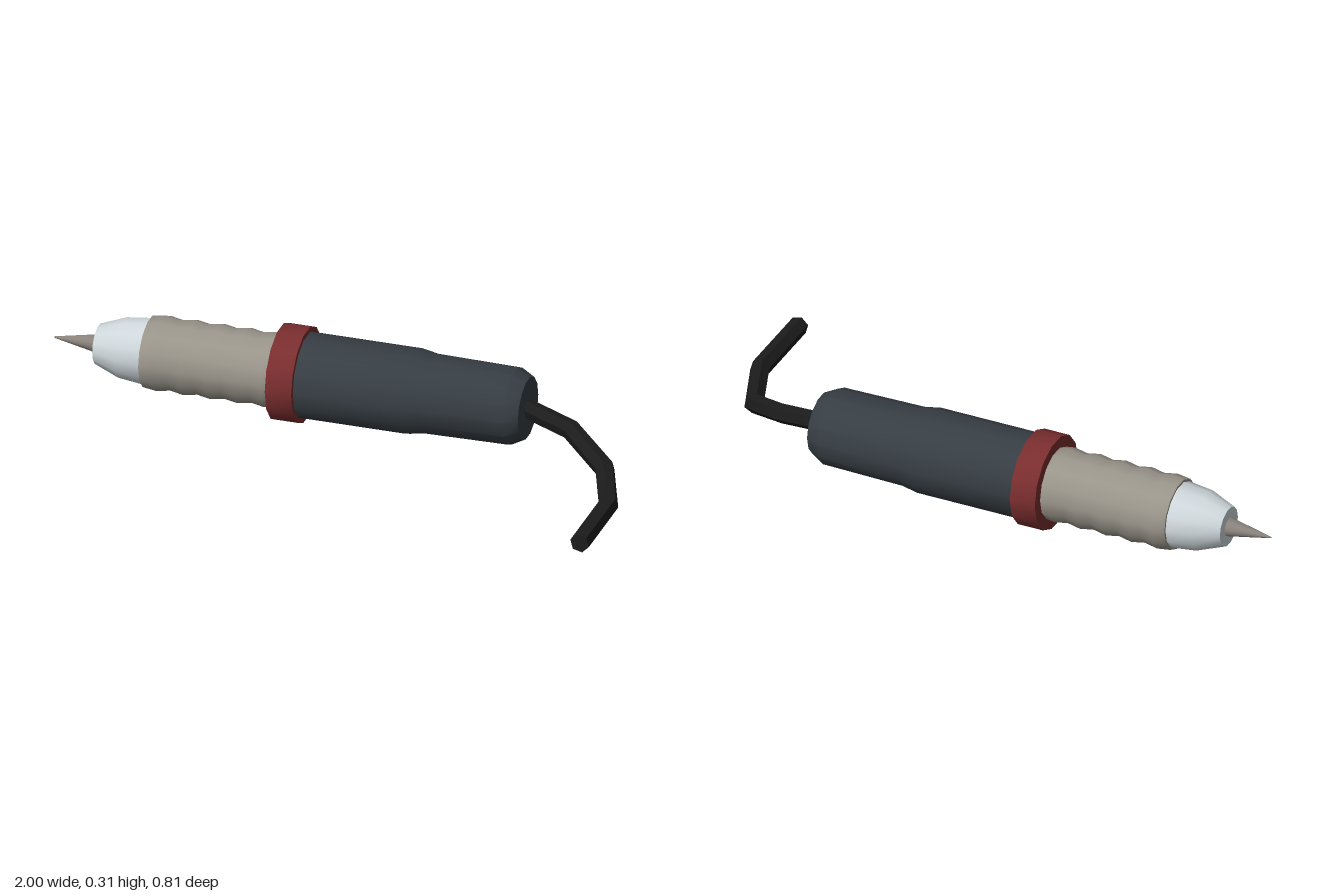
import * as THREE from 'three';
import { toCreasedNormals } from 'three/addons/utils/BufferGeometryUtils.js';

const SIDES = 14;
const AXIS_Y = 0.153;
const AXIS_Z = -0.246;

function material(name, color) {
  const m = new THREE.MeshStandardMaterial({ color });
  m.name = name;
  return m;
}

// Turned part along x; profile is a list of [x, radius]
function turned(name, profile, mat) {
  const points = profile.map(([x, r]) => new THREE.Vector2(r, x));
  const lathe = new THREE.LatheGeometry(points, SIDES).rotateZ(-Math.PI / 2);
  const mesh = new THREE.Mesh(toCreasedNormals(lathe, 0.6), mat);
  mesh.name = name;
  mesh.position.set(0, AXIS_Y, AXIS_Z);
  return mesh;
}

// Polygonal tube with mitred bends and closed ends
function mitredTube(path, radius, sides, roll) {
  const up = new THREE.Vector3(0, 1, 0);
  const pos = [];
  const index = [];
  const n = path.length;
  const dir = (i) => path[i + 1].clone().sub(path[i]).normalize();
  path.forEach((p, i) => {
    const before = dir(Math.max(i - 1, 0));
    const after = dir(Math.min(i, n - 2));
    const t = before.clone().add(after).normalize();
    const side = new THREE.Vector3().crossVectors(t, up).normalize();
    const top = new THREE.Vector3().crossVectors(side, t);
    const miter = 1 / t.dot(before);
    for (let j = 0; j < sides; j++) {
      const a = roll + (j / sides) * Math.PI * 2;
      const v = p.clone()
        .addScaledVector(side, Math.cos(a) * radius * miter)
        .addScaledVector(top, Math.sin(a) * radius);
      pos.push(v.x, v.y, v.z);
    }
  });
  for (let i = 0; i < n - 1; i++) {
    for (let j = 0; j < sides; j++) {
      const a = i * sides + j;
      const b = i * sides + ((j + 1) % sides);
      index.push(a, b + sides, b, a, a + sides, b + sides);
    }
  }
  const last = (n - 1) * sides;
  for (let j = 1; j < sides - 1; j++) {
    index.push(0, j, j + 1, last, last + j + 1, last + j);
  }
  const g = new THREE.BufferGeometry();
  g.setAttribute('position', new THREE.Float32BufferAttribute(pos, 3));
  g.setIndex(index);
  return toCreasedNormals(g, 0.6);
}

export function createModel() {
  const tipMetal = material('tip metal', 0x8a837d);
  const paleMetal = material('pale metal', 0xcdd6da);
  const gripGrey = material('grip grey', 0x99948a);
  const ringRed = material('ring red', 0x792d2e);
  const bodySlate = material('body slate', 0x363d43);
  const cableBlack = material('cable black', 0x1c1c1c);

  const group = new THREE.Group();
  group.name = 'engravingPen';

  // Pointed tip and tapered nozzle
  group.add(turned('tip', [[-1, 0], [-0.995, 0.003], [-0.85, 0.031], [-0.84, 0]], tipMetal));
  group.add(turned('nozzle', [
    [-0.85, 0], [-0.85, 0.066], [-0.765, 0.099], [-0.68, 0.109], [-0.67, 0],
  ], paleMetal));

  // Grip with shallow ripples
  const grip = [[-0.68, 0], [-0.68, 0.117]];
  for (let i = 0; i < 9; i++) {
    grip.push([-0.635 + i * 0.045, i % 2 ? 0.115 : 0.123]);
  }
  grip.push([-0.24, 0.118], [-0.24, 0]);
  group.add(turned('grip', grip, gripGrey));

  // Collar ring
  group.add(turned('collar', [
    [-0.245, 0], [-0.245, 0.157], [-0.157, 0.157], [-0.157, 0],
  ], ringRed));

  // Main housing with a step down and a chamfered rear
  group.add(turned('housing', [
    [-0.17, 0], [-0.17, 0.14], [0.2, 0.14], [0.255, 0.13],
    [0.535, 0.126], [0.58, 0.102], [0.58, 0],
  ], bodySlate));

  // Power cable
  const path = [
    [0.56, 0.157, -0.247], [0.735, 0.122, -0.205], [0.885, 0.058, -0.098],
    [0.968, 0.046, 0.115], [0.968, 0.046, 0.402],
  ].map((p) => new THREE.Vector3(...p));
  const cable = new THREE.Mesh(mitredTube(path, 0.032, 6, Math.PI / 12), cableBlack);
  cable.name = 'cable';
  group.add(cable);

  return group;
}
